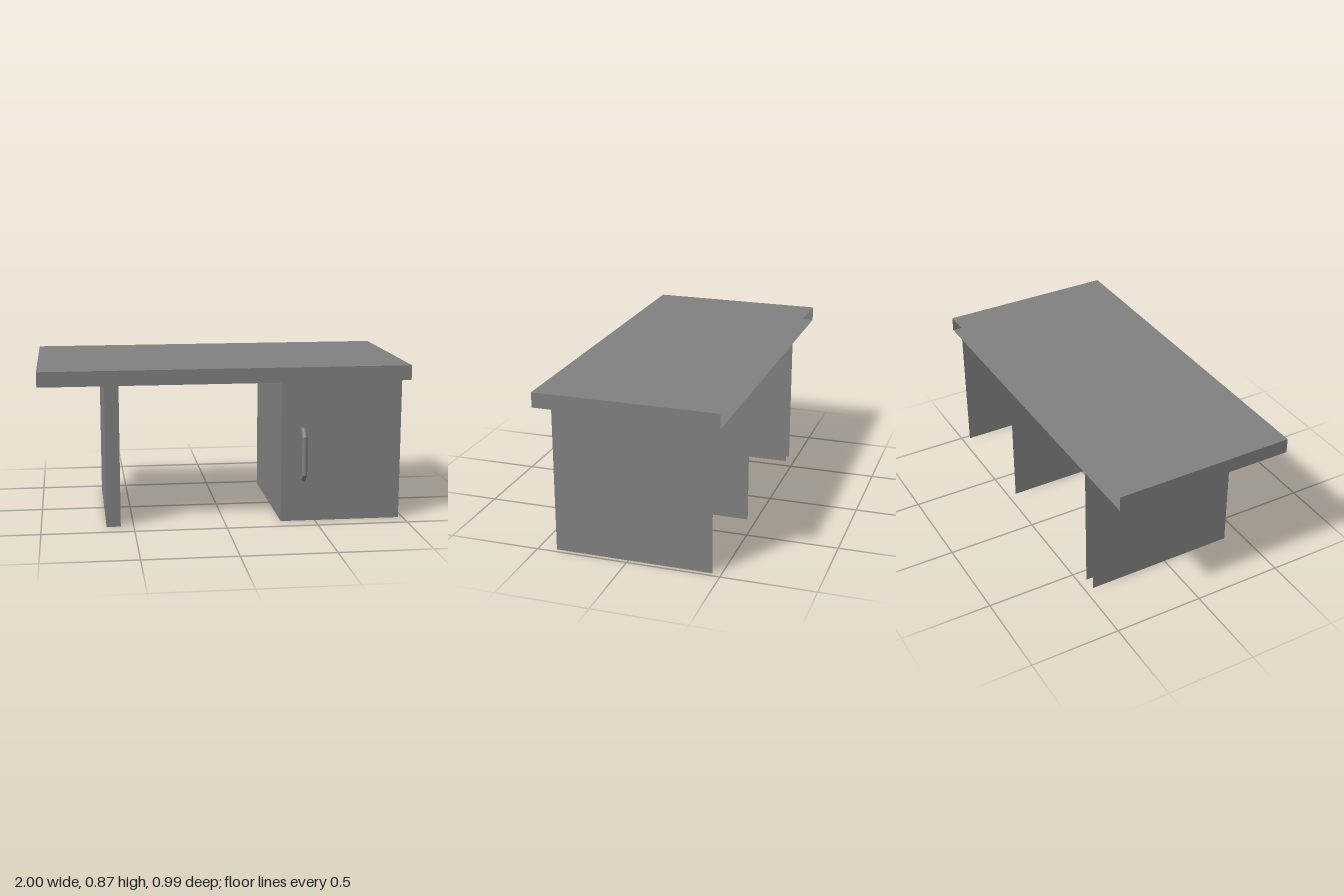
import * as THREE from 'three';

const grey = new THREE.MeshStandardMaterial({ color: 0x808080, side: THREE.DoubleSide });
grey.name = 'grey';

// Box shell from min to max, keeping only the listed faces (0 +x, 1 -x, 2 +y, 3 -y, 4 +z, 5 -z)
function shell(name, min, max, faces) {
  const size = max.map((v, i) => v - min[i]);
  const geo = new THREE.BoxGeometry(...size);
  const all = Array.from(geo.index.array);
  geo.setIndex(faces.flatMap((f) => all.slice(f * 6, f * 6 + 6)));
  geo.clearGroups();
  const mesh = new THREE.Mesh(geo, grey);
  mesh.name = name;
  mesh.position.set(...max.map((v, i) => (v + min[i]) / 2));
  return mesh;
}

// Round bar along a [y, z] path with mitred corners, smooth around and sharp at each bend
function mitredBar(name, path, x, radius, sides) {
  const pts = path.map(([y, z]) => new THREE.Vector2(y, z));
  const dirs = pts.slice(1).map((p, i) => p.clone().sub(pts[i]).normalize());
  const perp = (d) => new THREE.Vector2(-d.y, d.x);
  const pos = [], nor = [], idx = [];
  dirs.forEach((d, s) => {
    const n = perp(d);
    const base = pos.length / 3;
    for (const e of [s, s + 1]) {
      const a = dirs[Math.max(e - 1, 0)], b = dirs[Math.min(e, dirs.length - 1)];
      const m = perp(a).add(perp(b)).normalize();
      m.divideScalar(m.dot(n));
      for (let k = 0; k <= sides; k++) {
        const t = (k / sides) * Math.PI * 2, c = Math.cos(t), w = Math.sin(t);
        pos.push(x + c * radius, pts[e].x + m.x * w * radius, pts[e].y + m.y * w * radius);
        nor.push(c, n.x * w, n.y * w);
      }
    }
    for (let k = 0; k < sides; k++) {
      const p = base + k, q = p + sides + 1;
      idx.push(p, p + 1, q, p + 1, q + 1, q);
    }
  });
  const geo = new THREE.BufferGeometry();
  geo.setAttribute('position', new THREE.Float32BufferAttribute(pos, 3));
  geo.setAttribute('normal', new THREE.Float32BufferAttribute(nor, 3));
  geo.setIndex(idx);
  const mesh = new THREE.Mesh(geo, grey);
  mesh.name = name;
  return mesh;
}

export function createModel() {
  const desk = new THREE.Group();
  desk.name = 'desk';

  // Top slab, open at the back
  desk.add(shell('deskTop', [-1, 0.791, -0.495], [1, 0.872, 0.495], [0, 1, 2, 3, 4]));

  // Cabinet and leg: two sides and a front, open at the back, top and bottom
  desk.add(shell('cabinet', [0.31, 0, -0.453], [0.975, 0.787, 0.4], [0, 1, 4]));
  desk.add(shell('legPanel', [-0.648, 0, -0.453], [-0.571, 0.787, 0.4], [0, 1, 4]));

  // Door handle
  const handlePath = [
    [0.242, 0.398], [0.242, 0.418], [0.275, 0.452],
    [0.477, 0.452], [0.511, 0.418], [0.511, 0.398],
  ];
  desk.add(mitredBar('doorHandle', handlePath, 0.43, 0.015, 16));

  return desk;
}
